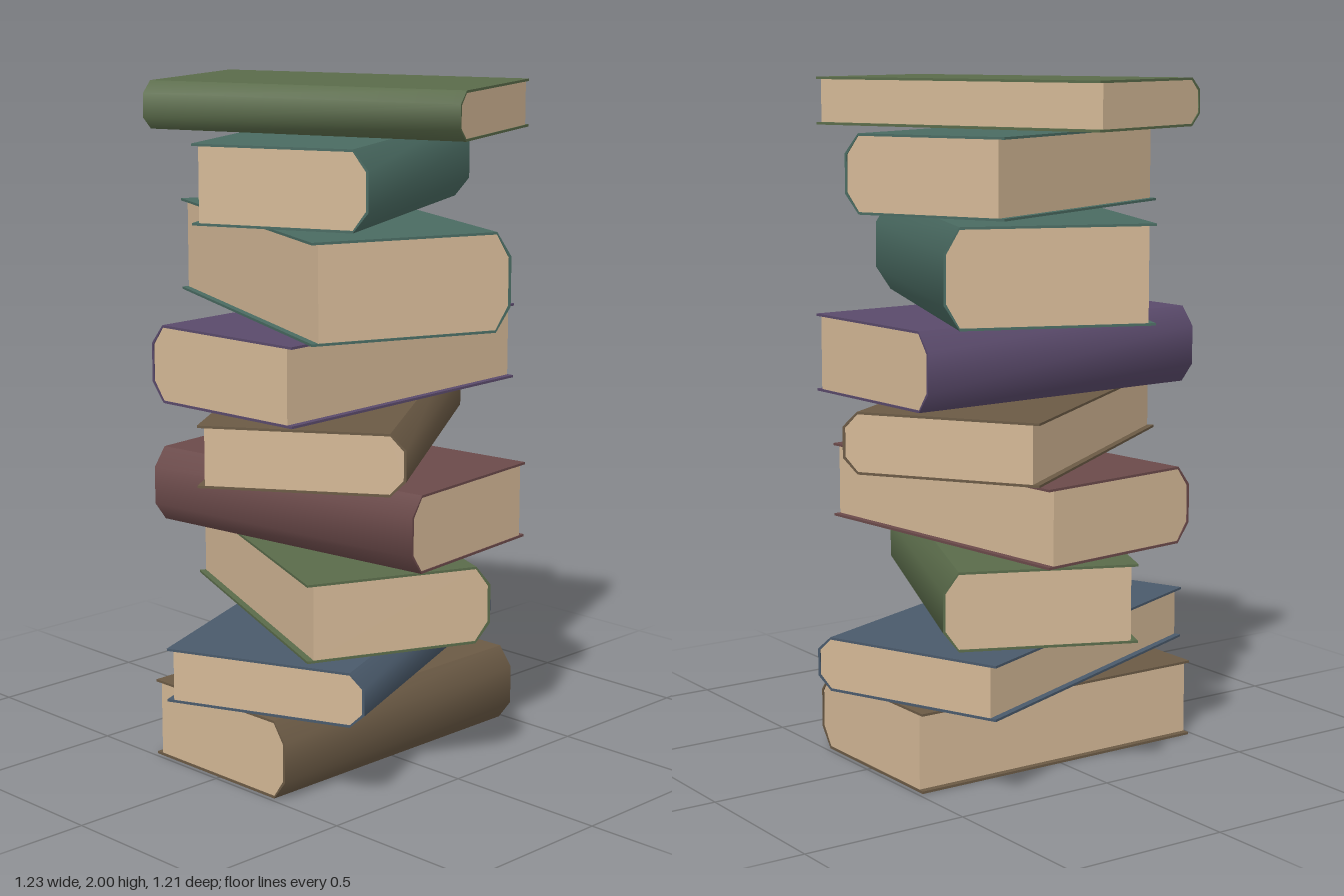
import * as THREE from 'three';
import { toCreasedNormals } from 'three/addons/utils/BufferGeometryUtils.js';

const BOARD = 0.007; // cover thickness

function material(name, color) {
  const m = new THREE.MeshStandardMaterial({ color });
  m.name = name;
  return m;
}

// Extrudes a (depth, height) outline along the length of the book, centred on x
function extrudeAlongX(points, length) {
  const shape = new THREE.Shape(points.map(([z, y]) => new THREE.Vector2(z, y)));
  const geo = new THREE.ExtrudeGeometry(shape, { depth: length, bevelEnabled: false });
  geo.translate(0, 0, -length / 2);
  return geo.rotateY(-Math.PI / 2);
}

// Rounded back in three facets, bulging from the hinge line, bottom to top
function spineCurve(hinge, bulge, y0, y1) {
  const h = y1 - y0;
  return [
    [hinge, y0],
    [hinge + bulge, y0 + h * 0.25],
    [hinge + bulge, y0 + h * 0.75],
    [hinge, y1],
  ];
}

// A closed hardback lying flat; its spine faces local +z
function makeBook(name, length, width, height, cover, paper) {
  const book = new THREE.Group();
  book.name = name;
  const add = (part, geo, mat) => {
    const mesh = new THREE.Mesh(geo, mat);
    mesh.name = part;
    book.add(mesh);
    return mesh;
  };
  const bulge = 0.045;
  const back = -width / 2;
  const hinge = width / 2 - bulge;

  // flat boards above and below the pages
  for (const [part, y] of [['bottomBoard', BOARD / 2], ['topBoard', height - BOARD / 2]]) {
    const board = new THREE.BoxGeometry(length, BOARD, hinge - back);
    add(part, board, cover).position.set(0, y, (hinge + back) / 2);
  }

  // curved spine shell
  const outer = spineCurve(hinge, bulge, 0, height);
  const inner = spineCurve(hinge, bulge - BOARD, BOARD, height - BOARD);
  add('spine', toCreasedNormals(extrudeAlongX([...outer, ...inner.reverse()], length), 1.2), cover);

  // page block, set back from the fore edge
  const pages = [
    [back + 0.02, BOARD],
    ...spineCurve(hinge, bulge - BOARD, BOARD, height - BOARD),
    [back + 0.02, height - BOARD],
  ];
  add('pages', extrudeAlongX(pages, length - 0.006), paper);
  return book;
}

export function createModel() {
  const paper = material('paper', 0xd4b896);
  const brown = material('brown cloth', 0x6b5a45);
  const blue = material('blue cloth', 0x4a5a6b);
  const green = material('green cloth', 0x5a6b4a);
  const maroon = material('maroon cloth', 0x6b4a4a);
  const purple = material('purple cloth', 0x5a4a6b);
  const teal = material('teal cloth', 0x4a6b62);

  // cover, bottom, top, length, width, turn about y
  const stack = [
    [brown, 0, 0.234, 0.972, 0.555, 0],
    [blue, 0.246, 0.406, 1.076, 0.613, 0.392],
    [green, 0.42, 0.649, 0.983, 0.56, 1.157],
    [maroon, 0.66, 0.887, 0.973, 0.555, -1.455],
    [brown, 0.901, 1.08, 1.046, 0.59, 0.594],
    [purple, 1.09, 1.318, 0.976, 0.555, Math.PI + 0.047],
    [teal, 1.33, 1.612, 1.066, 0.597, 1.186],
    [teal, 1.623, 1.85, 0.92, 0.519, 0.433],
    [green, 1.861, 2.0, 0.975, 0.552, -1.202],
  ];

  const model = new THREE.Group();
  model.name = 'bookStack';
  stack.forEach(([cover, bottom, top, length, width, turn], i) => {
    const book = makeBook(`book${i + 1}`, length, width, top - bottom, cover, paper);
    book.position.y = bottom;
    book.rotation.y = turn;
    model.add(book);
  });
  return model;
}
